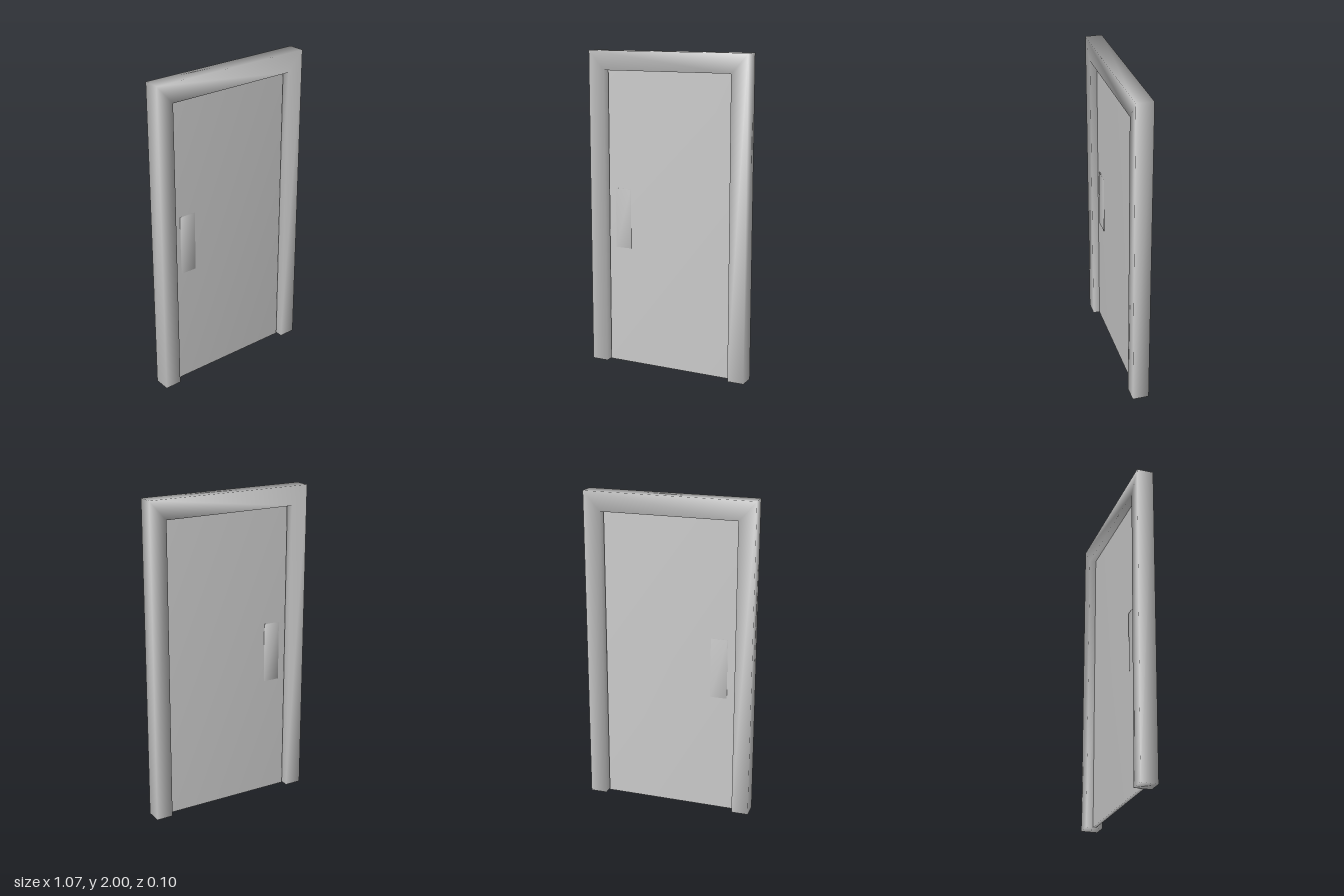
import * as THREE from 'three';
import { mergeVertices } from 'three/addons/utils/BufferGeometryUtils.js';

const material = new THREE.MeshStandardMaterial({ color: 0xcccccc });

function addMesh(group, name, geometry) {
  const mesh = new THREE.Mesh(geometry, material);
  mesh.name = name;
  group.add(mesh);
  return mesh;
}

// Box with shared corners, so its shading runs softly over the edges
function softBox(w, h, d) {
  const box = new THREE.BoxGeometry(w, h, d);
  box.deleteAttribute('uv');
  box.deleteAttribute('normal');
  const welded = mergeVertices(box);
  welded.computeVertexNormals();
  return welded;
}

// One mitred square bar: up one jamb, across the head, down the other jamb
function frameGeometry(outerX, innerX, topY, headY, halfDepth) {
  const sections = [[-1, 0, 0], [-1, topY, headY], [1, topY, headY], [1, 0, 0]];
  const positions = [];
  const index = [];
  for (const [side, outerY, innerY] of sections) {
    positions.push(
      side * outerX, outerY, halfDepth,
      side * innerX, innerY, halfDepth,
      side * innerX, innerY, -halfDepth,
      side * outerX, outerY, -halfDepth
    );
  }
  for (let i = 0; i < 3; i++) {
    for (let j = 0; j < 4; j++) {
      const a = i * 4 + j;
      const b = i * 4 + (j + 1) % 4;
      index.push(a, b, b + 4, a, b + 4, a + 4);
    }
  }
  // Feet of the two jambs
  index.push(0, 2, 1, 0, 3, 2, 12, 13, 14, 12, 14, 15);
  const geometry = new THREE.BufferGeometry();
  geometry.setAttribute('position', new THREE.Float32BufferAttribute(positions, 3));
  geometry.setIndex(index);
  geometry.computeVertexNormals();
  return geometry;
}

export function createModel() {
  const model = new THREE.Group();
  model.name = 'door';

  addMesh(model, 'doorFrame', frameGeometry(0.533, 0.427, 2, 1.88, 0.052));

  // Thin leaf with a narrow gap to the jambs
  addMesh(model, 'doorLeaf', softBox(0.838, 1.875, 0.022)).position.y = 0.94;

  // Flat push plate showing on both faces of the leaf
  addMesh(model, 'handlePlate', softBox(0.105, 0.38, 0.034)).position.set(-0.317, 0.95, 0);

  return model;
}
